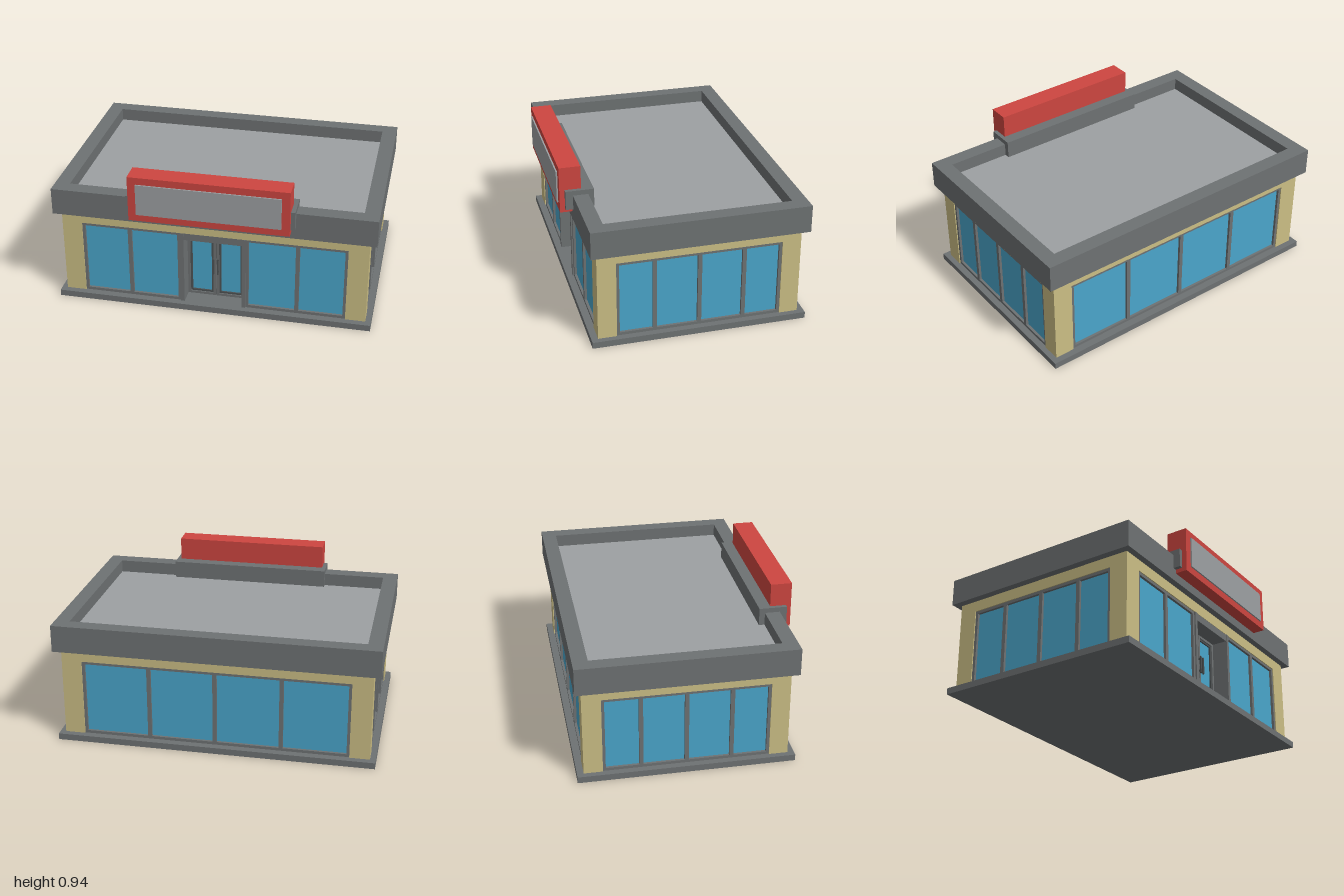
import * as THREE from 'three';

const material = (name, color) => {
  const m = new THREE.MeshStandardMaterial({ color });
  m.name = name;
  return m;
};

export function createModel() {
  const grey = material('trim grey', 0x6e7273);
  const pale = material('pale grey', 0x9da0a2);
  const tan = material('tan wall', 0xcbbe85);
  const blue = material('window blue', 0x4aa6cb);
  const red = material('sign red', 0xcd4640);
  const dark = material('door dark grey', 0x4e5253);

  const model = new THREE.Group();
  model.name = 'shop';
  const shell = new THREE.Group();
  shell.name = 'building';
  shell.position.z = -0.04;
  model.add(shell);

  const add = (parent, name, geometry, mat) => {
    const mesh = new THREE.Mesh(geometry, mat);
    mesh.name = name;
    parent.add(mesh);
    return mesh;
  };
  // Box given by its limits on each axis
  const box = (parent, name, mat, x0, x1, y0, y1, z0, z1) => {
    const mesh = add(parent, name, new THREE.BoxGeometry(x1 - x0, y1 - y0, z1 - z0), mat);
    mesh.position.set((x0 + x1) / 2, (y0 + y1) / 2, (z0 + z1) / 2);
    return mesh;
  };
  // Rectangular ring: outer limits, border width and depth toward +z
  const ring = (x0, x1, y0, y1, border, depth) => {
    const rect = (Type, b) => new Type([
      new THREE.Vector2(x0 + b, y0 + b), new THREE.Vector2(x1 - b, y0 + b),
      new THREE.Vector2(x1 - b, y1 - b), new THREE.Vector2(x0 + b, y1 - b),
    ]);
    const shape = rect(THREE.Shape, 0);
    shape.holes.push(rect(THREE.Path, border));
    return new THREE.ExtrudeGeometry(shape, { depth, bevelEnabled: false });
  };

  // Base, corner piers and the band above the windows
  box(shell, 'baseSlab', grey, -0.99, 0.99, 0, 0.04, -0.66, 0.66);
  for (const sx of [-1, 1]) {
    for (const sz of [-1, 1]) {
      const pier = box(shell, 'cornerPier', tan, 0.83, 0.955, 0.04, 0.53, 0.505, 0.62);
      pier.position.x *= sx;
      pier.position.z *= sz;
    }
  }
  box(shell, 'wallBand', tan, -0.955, 0.955, 0.53, 0.605, -0.62, 0.62);

  // Roof edge and sunken roof
  const parapet = add(shell, 'parapet', ring(-1, 1, -0.66, 0.66, 0.093, 0.17), grey);
  parapet.rotation.x = -Math.PI / 2;
  parapet.position.y = 0.6;
  box(shell, 'roof', pale, -0.91, 0.91, 0.606, 0.69, -0.57, 0.57);

  // Window bank facing +z, its outer plane at z = 0
  const windowBank = (name, half, mullions, x, z, turn) => {
    const bank = new THREE.Group();
    bank.name = name;
    const frame = add(bank, 'windowFrame', ring(-half, half, 0.04, 0.53, 0.018, 0.04), grey);
    frame.position.z = -0.046;
    for (const u of mullions) {
      box(bank, 'mullion', grey, u - 0.0125, u + 0.0125, 0.05, 0.52, -0.046, -0.006);
    }
    box(bank, 'glass', blue, -half + 0.01, half - 0.01, 0.05, 0.52, -0.03, -0.022);
    bank.position.set(x, 0, z);
    bank.rotation.y = turn;
    shell.add(bank);
  };
  windowBank('backWindows', 0.83, [-0.41, 0, 0.41], 0, -0.62, Math.PI);
  for (const s of [-1, 1]) {
    windowBank('sideWindows', 0.505, [-0.273, 0, 0.273], s * 0.955, 0, s * Math.PI / 2);
    windowBank('frontWindows', 0.3125, [s * 0.008], s * 0.5175, 0.62, 0);
  }

  // Recessed entrance
  const entrance = new THREE.Group();
  entrance.name = 'entrance';
  model.add(entrance);
  for (const s of [-1, 1]) {
    const jamb = box(entrance, 'doorJamb', grey, 0.182, 0.205, 0.04, 0.53, 0.44, 0.583);
    jamb.position.x *= s;
  }
  box(entrance, 'doorHeader', grey, -0.182, 0.182, 0.483, 0.53, 0.44, 0.578);
  for (const s of [-1, 1]) {
    const [a, b] = s > 0 ? [0.002, 0.182] : [-0.182, -0.002];
    const leaf = add(entrance, 'doorLeaf', ring(a, b, 0.04, 0.483, 0.016, 0.03), grey);
    leaf.position.z = 0.45;
    const rim = add(entrance, 'doorRim', ring(a + 0.016, b - 0.016, 0.056, 0.467, 0.012, 0.02), dark);
    rim.position.z = 0.453;
    box(entrance, 'doorGlass', blue, a + 0.02, b - 0.02, 0.06, 0.463, 0.456, 0.464);
    // Pull handle on two short stubs
    const h = s * 0.014;
    box(entrance, 'doorHandle', dark, h - 0.005, h + 0.005, 0.21, 0.32, 0.496, 0.506);
    for (const y of [0.225, 0.305]) {
      box(entrance, 'handleStub', dark, h - 0.004, h + 0.004, y - 0.004, y + 0.004, 0.478, 0.498);
    }
  }
  box(entrance, 'doorGap', dark, -0.004, 0.004, 0.04, 0.483, 0.45, 0.47);

  // Roof sign
  const sign = new THREE.Group();
  sign.name = 'roofSign';
  model.add(sign);
  box(sign, 'signBracket', grey, -0.515, 0.515, 0.68, 0.8, 0.492, 0.665);
  box(sign, 'signBox', red, -0.49, 0.49, 0.655, 0.945, 0.565, 0.696);
  box(sign, 'signPanel', pale, -0.44, 0.44, 0.7, 0.9, 0.696, 0.705);

  return model;
}
